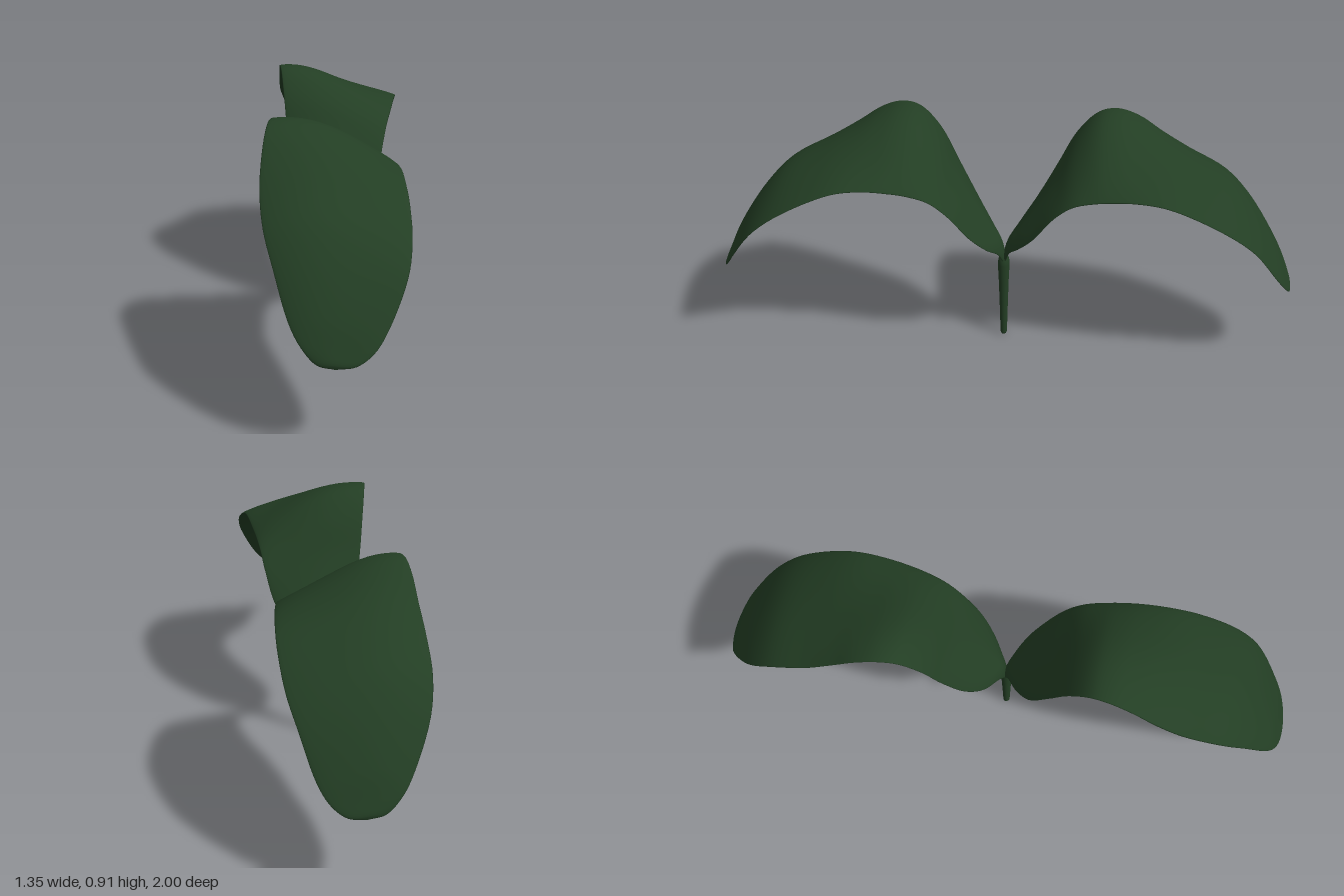
import * as THREE from 'three';

const material = new THREE.MeshStandardMaterial({ color: 0x233e24 });

// leaf stations: distance along leaf, half width A, half width B, high edge y, midrib y, low edge y
const stations = [
  [0.00, 0.018, 0.018, 0.34, 0.35, 0.34],
  [0.02, 0.045, 0.055, 0.40, 0.43, 0.40],
  [0.06, 0.105, 0.115, 0.452, 0.49, 0.455],
  [0.12, 0.163, 0.16, 0.54, 0.573, 0.53],
  [0.20, 0.195, 0.187, 0.69, 0.685, 0.64],
  [0.27, 0.217, 0.197, 0.82, 0.782, 0.70],
  [0.35, 0.237, 0.205, 0.897, 0.845, 0.728],
  [0.42, 0.25, 0.212, 0.908, 0.855, 0.74],
  [0.50, 0.26, 0.218, 0.88, 0.84, 0.746],
  [0.60, 0.267, 0.225, 0.81, 0.808, 0.738],
  [0.70, 0.265, 0.235, 0.745, 0.767, 0.705],
  [0.85, 0.242, 0.242, 0.662, 0.69, 0.625],
  [0.95, 0.203, 0.228, 0.565, 0.59, 0.54],
  [1.05, 0.15, 0.165, 0.425, 0.44, 0.40],
  [1.09, 0.11, 0.12, 0.36, 0.355, 0.34],
  [1.11, 0.06, 0.065, 0.31, 0.31, 0.305],
  [1.114, 0.004, 0.004, 0.298, 0.298, 0.298],
];

const along = new THREE.Vector3(0.5, 0, 0.866);
const across = new THREE.Vector3(0.866, 0, -0.5);

// dir +1 grows to the front, -1 to the back; the twist is mirrored between them,
// bend is how far the middle of the blade bows sideways
function makeLeaf(name, dir, bend) {
  const [highW, lowW] = dir > 0 ? [1, 2] : [2, 1];
  const curve = (side, widthCol, heightCol) => new THREE.CatmullRomCurve3(stations.map((r) =>
    new THREE.Vector3().addScaledVector(along, r[0] * dir)
      .addScaledVector(across, side * r[widthCol] + bend * Math.sin(Math.PI * Math.min(1, r[0])))
      .setY(r[heightCol])));
  const high = curve(-1, highW, 3), mid = curve(0, 1, 4), low = curve(1, lowW, 5);

  // curved cross-section through high edge, midrib and low edge
  const surface = (t, s) => {
    const L = high.getPoint(t), M = mid.getPoint(t), R = low.getPoint(t);
    const p = M.clone().addScaledVector(R.clone().sub(L), s / 2)
      .addScaledVector(L.clone().add(R).multiplyScalar(0.5).sub(M), s * s);
    // soft swell beside the midrib, towards the high edge
    p.y -= 0.008 * Math.sin(Math.PI * s) * Math.sin(Math.PI * t);
    return p;
  };
  const normalAt = (t, s) => {
    const e = 0.004;
    const du = surface(Math.min(1, t + e), s).sub(surface(Math.max(0, t - e), s));
    const ds = surface(t, s + e).sub(surface(t, s - e));
    return du.cross(ds).multiplyScalar(dir).normalize();
  };

  // closed rings around the blade give it a thin body with rounded edges
  const rows = 80, ring = 40, positions = [], index = [];
  for (let i = 0; i <= rows; i++) {
    const t = i / rows;
    const thick = 0.009 * Math.min(1, (1 - t) * 12 + 0.1);
    for (let j = 0; j < ring; j++) {
      const a = (j / ring) * Math.PI * 2;
      const s = Math.cos(a);
      const p = surface(t, s).addScaledVector(normalAt(t, s), thick * Math.sin(a));
      positions.push(p.x, p.y, p.z);
      if (i === rows) continue;
      const k = i * ring, n = (j + 1) % ring;
      const quad = [k + j, k + n, k + ring + j, k + n, k + ring + n, k + ring + j];
      if (dir < 0) quad.reverse();
      index.push(...quad);
    }
  }
  const geometry = new THREE.BufferGeometry();
  geometry.setAttribute('position', new THREE.Float32BufferAttribute(positions, 3));
  geometry.setIndex(index);
  geometry.computeVertexNormals();
  const leaf = new THREE.Mesh(geometry, material);
  leaf.name = name;
  return leaf;
}

// tapered stem with a rounded foot
function makeStem() {
  const profile = [[0, 0], [0.01, 0.001], [0.014, 0.01], [0.017, 0.12], [0.021, 0.25],
    [0.025, 0.33], [0.023, 0.355], [0.014, 0.375], [0, 0.385]].map(([x, y]) => new THREE.Vector2(x, y));
  const stem = new THREE.Mesh(new THREE.LatheGeometry(profile, 24), material);
  stem.name = 'stem';
  stem.position.x = 0.005;
  stem.scale.z = 0.9;
  return stem;
}

export function createModel() {
  const model = new THREE.Group();
  model.name = 'seedling';
  model.add(makeStem(), makeLeaf('frontLeaf', 1, 0.008), makeLeaf('backLeaf', -1, -0.036));
  return model;
}
